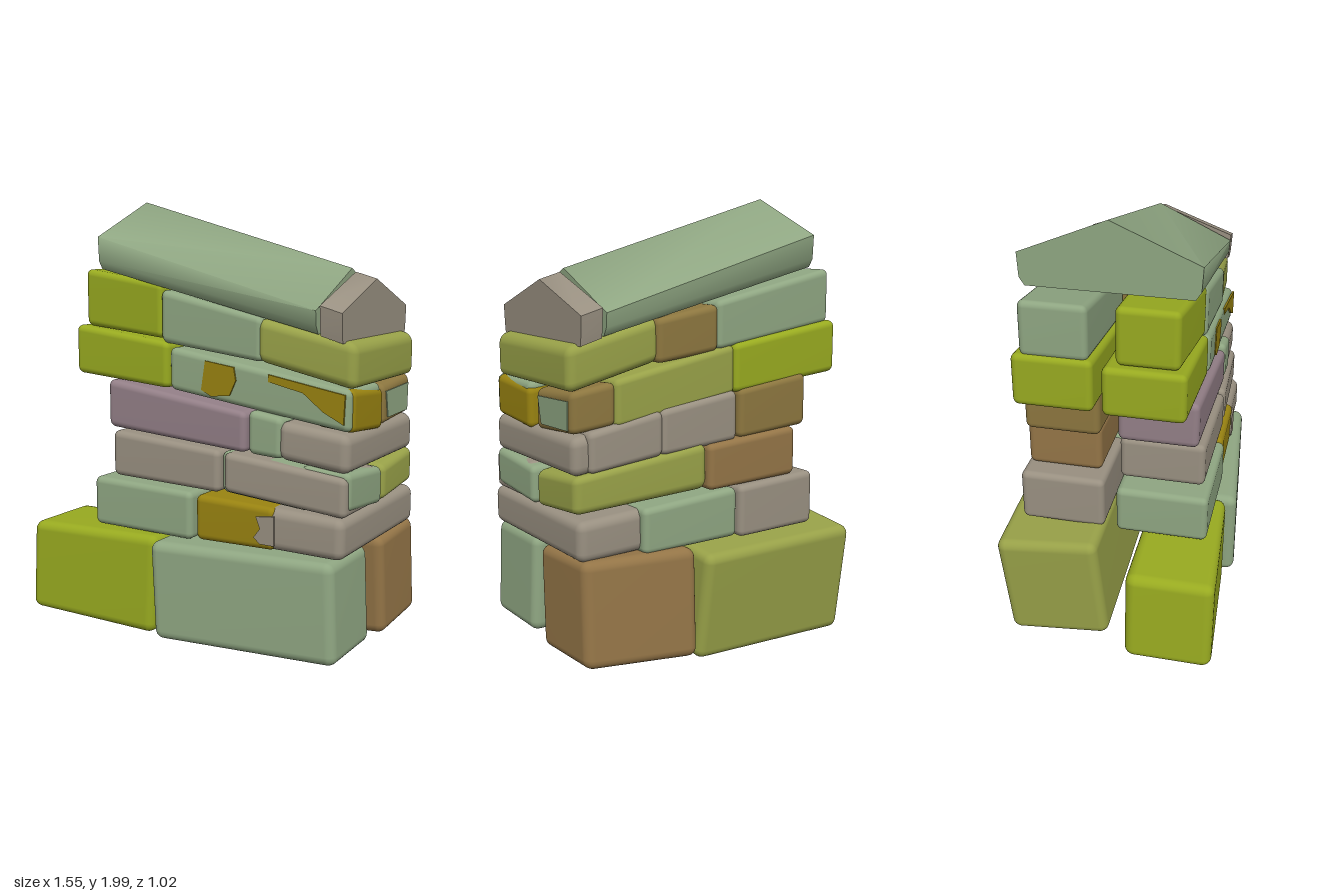
import * as THREE from 'three';
import { mergeVertices, toCreasedNormals } from 'three/addons/utils/BufferGeometryUtils.js';
import { RoundedBoxGeometry } from 'three/addons/geometries/RoundedBoxGeometry.js';

const mat = (name, color) => {
  const m = new THREE.MeshStandardMaterial({ color });
  m.name = name;
  return m;
};

export function createModel() {
  const model = new THREE.Group();
  model.name = 'stoneWall';
  const lime = mat('lime', 0x98aa20), sage = mat('sage', 0x8fa682), olive = mat('olive', 0x98a148),
    brown = mat('brown', 0x947547), gray = mat('warmGray', 0x999081), mauve = mat('mauve', 0x937f87),
    mustard = mat('mustard', 0x998311), umber = mat('umber', 0x8c763f);

  const add = (name, geometry, material) => {
    const mesh = new THREE.Mesh(geometry, material);
    mesh.name = name;
    model.add(mesh);
    return mesh;
  };

  // Rounded stone whose inner/outer z, bottom and top vary from its left end to its right end;
  // leanX and leanZ shift the top against the bottom, tip lowers the back against the front
  function stone(name, material, x0, x1, [zi, zL, zR], [bL, tL, bR, tR], radius = 0.028, [leanX, leanZ, tip] = [0, 0, 0]) {
    const w = x1 - x0, h = (tL - bL + tR - bR) / 2, d = Math.abs((zL + zR) / 2 - zi);
    let g = new RoundedBoxGeometry(w, h, d, 3, radius);
    g.deleteAttribute('normal');
    g.deleteAttribute('uv');
    g.clearGroups();
    g = mergeVertices(g, 1e-5);
    const p = g.attributes.position, lerp = THREE.MathUtils.lerp;
    for (let i = 0; i < p.count; i++) {
      const u = p.getX(i) / w + 0.5, v = p.getY(i) / h + 0.5, s = p.getZ(i) / d + 0.5;
      const zo = lerp(zL, zR, u);
      const z = lerp(Math.min(zi, zo), Math.max(zi, zo), s);
      const y = lerp(lerp(bL, bR, u), lerp(tL, tR, u), v);
      p.setXYZ(i, lerp(x0, x1, u) + leanX * (v - 0.5), y + tip * (s - 0.5), z + leanZ * (v - 0.5));
    }
    g.computeVertexNormals();
    add(name, g, material);
  }

  // Foundation boulders
  const R = 0.042;
  stone('baseFrontLeft', lime, -0.765, -0.105, [0.125, 0.51, 0.465], [0.125, 0.545, 0.1, 0.55], R, [0.025, 0, 0]);
  stone('baseFrontRight', sage, -0.09, 0.745, [0.07, 0.515, 0.435], [0.105, 0.545, 0.12, 0.55], R, [-0.02, 0, 0]);
  stone('baseBackLeft', olive, -0.595, 0.235, [-0.015, -0.475, -0.485], [0.025, 0.535, 0.07, 0.545], R, [-0.02, -0.05, 0.05]);
  stone('baseBackRight', brown, 0.255, 0.765, [-0.03, -0.48, -0.41], [0.075, 0.55, 0.115, 0.56], R, [-0.01, 0.03, -0.015]);

  // Course 1
  stone('course1Front', sage, -0.455, 0.065, [0.02, 0.425, 0.425], [0.555, 0.775, 0.55, 0.76]);
  stone('course1FrontMiddle', mustard, 0.08, 0.46, [0.02, 0.415, 0.41], [0.555, 0.755, 0.56, 0.74]);
  stone('course1End', gray, 0.385, 0.765, [-0.375, 0.405, 0.4], [0.56, 0.74, 0.555, 0.725], 0.04);
  stone('course1BackMiddle', sage, 0, 0.48, [-0.02, -0.415, -0.41], [0.55, 0.77, 0.55, 0.745]);
  stone('course1Back', gray, -0.43, -0.01, [-0.04, -0.42, -0.42], [0.54, 0.785, 0.54, 0.77]);

  // Course 2
  stone('course2Front', gray, -0.37, 0.19, [0.02, 0.395, 0.4], [0.785, 0.99, 0.77, 0.95]);
  stone('course2FrontRight', gray, 0.21, 0.762, [0.05, 0.4, 0.375], [0.78, 0.95, 0.725, 0.89]);
  stone('course2End', sage, 0.55, 0.77, [0.01, 0.355, 0.35], [0.745, 0.91, 0.735, 0.895], 0.028, [0, 0, 0.03]);
  stone('course2FrontCore', sage, 0.185, 0.6, [0.03, 0.37, 0.37], [0.77, 0.95, 0.735, 0.91]);
  stone('course2BackRight', olive, 0.15, 0.765, [-0.01, -0.4, -0.345], [0.77, 0.97, 0.735, 0.89], 0.035, [0, 0, -0.03]);
  stone('course2Back', brown, -0.335, 0.145, [-0.07, -0.405, -0.405], [0.78, 1.0, 0.77, 0.97]);

  // Course 3
  stone('course3Front', mauve, -0.41, 0.305, [0.02, 0.37, 0.38], [1.0, 1.215, 0.95, 1.12]);
  stone('course3FrontMiddle', sage, 0.315, 0.475, [0.02, 0.378, 0.378], [0.95, 1.135, 0.94, 1.11]);
  stone('course3End', gray, 0.45, 0.765, [-0.338, 0.375, 0.36], [0.94, 1.1, 0.9, 1.06], 0.04);
  stone('course3BackRight', gray, 0.36, 0.7, [-0.02, -0.38, -0.355], [0.95, 1.14, 0.91, 1.08]);
  stone('course3BackMiddle', gray, -0.02, 0.37, [-0.02, -0.385, -0.38], [0.97, 1.19, 0.95, 1.14]);
  stone('course3Back', umber, -0.4, -0.03, [-0.06, -0.395, -0.385], [1.0, 1.235, 0.975, 1.19]);

  // Course 4
  stone('course4Front', lime, -0.605, -0.095, [0, 0.345, 0.355], [1.23, 1.45, 1.19, 1.39]);
  stone('course4FrontRight', sage, -0.085, 0.762, [0.03, 0.36, 0.345], [1.19, 1.375, 1.07, 1.24]);
  stone('course4End', mustard, 0.6, 0.77, [0.02, 0.335, 0.325], [1.075, 1.25, 1.055, 1.23], 0.028, [0, 0, 0.025]);
  stone('course4EndBack', umber, 0.565, 0.755, [-0.01, -0.345, -0.31], [1.085, 1.265, 1.06, 1.23], 0.028, [0, 0, -0.02]);
  stone('course4BackMiddle', olive, -0.02, 0.575, [-0.02, -0.365, -0.355], [1.17, 1.385, 1.085, 1.28]);
  stone('course4Back', lime, -0.585, -0.01, [-0.04, -0.38, -0.375], [1.225, 1.46, 1.175, 1.385]);

  // Course 5
  stone('course5Front', lime, -0.57, -0.13, [0.05, 0.31, 0.345], [1.445, 1.7, 1.405, 1.64]);
  stone('course5FrontMiddle', sage, -0.135, 0.365, [0.02, 0.35, 0.35], [1.39, 1.62, 1.33, 1.51]);
  stone('course5End', olive, 0.335, 0.77, [-0.32, 0.35, 0.315], [1.335, 1.515, 1.235, 1.42], 0.04);
  stone('course5BackMiddle', umber, 0.06, 0.36, [-0.02, -0.355, -0.335], [1.36, 1.56, 1.325, 1.51]);
  stone('course5Back', sage, -0.57, 0.07, [-0.06, -0.345, -0.36], [1.445, 1.69, 1.365, 1.57]);

  // Thin colour patches on the stone faces
  function patch(name, material, points, z) {
    const shape = new THREE.Shape(points.map(([x, y]) => new THREE.Vector2(x, y)));
    const g = new THREE.ExtrudeGeometry(shape, { depth: 0.009, bevelEnabled: false });
    g.translate(0, 0, z);
    return add(name, g, material);
  }
  patch('mustardSpot', mustard, [[0.08, 1.2], [0.13, 1.175], [0.22, 1.185], [0.25, 1.25], [0.24, 1.305], [0.1, 1.325]], 0.352);
  patch('mustardWedge', mustard, [[0.4, 1.255], [0.56, 1.22], [0.65, 1.15], [0.74, 1.105], [0.745, 1.225], [0.6, 1.25], [0.4, 1.285]], 0.347);
  patch('grayNotch', gray, [[0.37, 0.61], [0.4, 0.585], [0.465, 0.585], [0.465, 0.71], [0.38, 0.7], [0.4, 0.65]], 0.409);
  const endPatch = patch('sageEndPatch', sage, [[0.06, 1.08], [0.28, 1.085], [0.285, 1.205], [0.035, 1.195]], 0.75);
  endPatch.geometry.rotateY(Math.PI / 2);

  // Gabled coping that descends, narrows and thins toward +x
  function coping(name, material, x0, x1, [ridge, eave, base], [zEave, zBase], { drop, narrow, thin }) {
    const shape = new THREE.Shape([
      [-zBase, base], [zBase, base], [zEave - 0.006, base + 0.035], [zEave, eave],
      [0, ridge], [-zEave, eave], [0.006 - zEave, base + 0.035],
    ].map(([z, y]) => new THREE.Vector2(z, y)));
    const g = new THREE.ExtrudeGeometry(shape, { depth: x1 - x0, bevelEnabled: false });
    g.rotateY(Math.PI / 2);
    g.translate(x0, 0, 0);
    const p = g.attributes.position;
    for (let i = 0; i < p.count; i++) {
      const u = (p.getX(i) - x0) / (x1 - x0), y = p.getY(i);
      p.setY(i, y - u * (drop - (y < eave - 0.01 ? thin : 0)));
      p.setZ(i, p.getZ(i) * (1 - narrow * u));
    }
    add(name, toCreasedNormals(g, 1.22), material);
  }
  coping('copingRoof', sage, -0.445, 0.605, [2, 1.84, 1.7], [0.373, 0.345], { drop: 0.29, narrow: 0.085, thin: 0.045 });
  coping('copingEnd', gray, 0.622, 0.718, [1.695, 1.57, 1.45], [0.341, 0.33], { drop: 0.027, narrow: 0.01, thin: 0 });

  return model;
}
